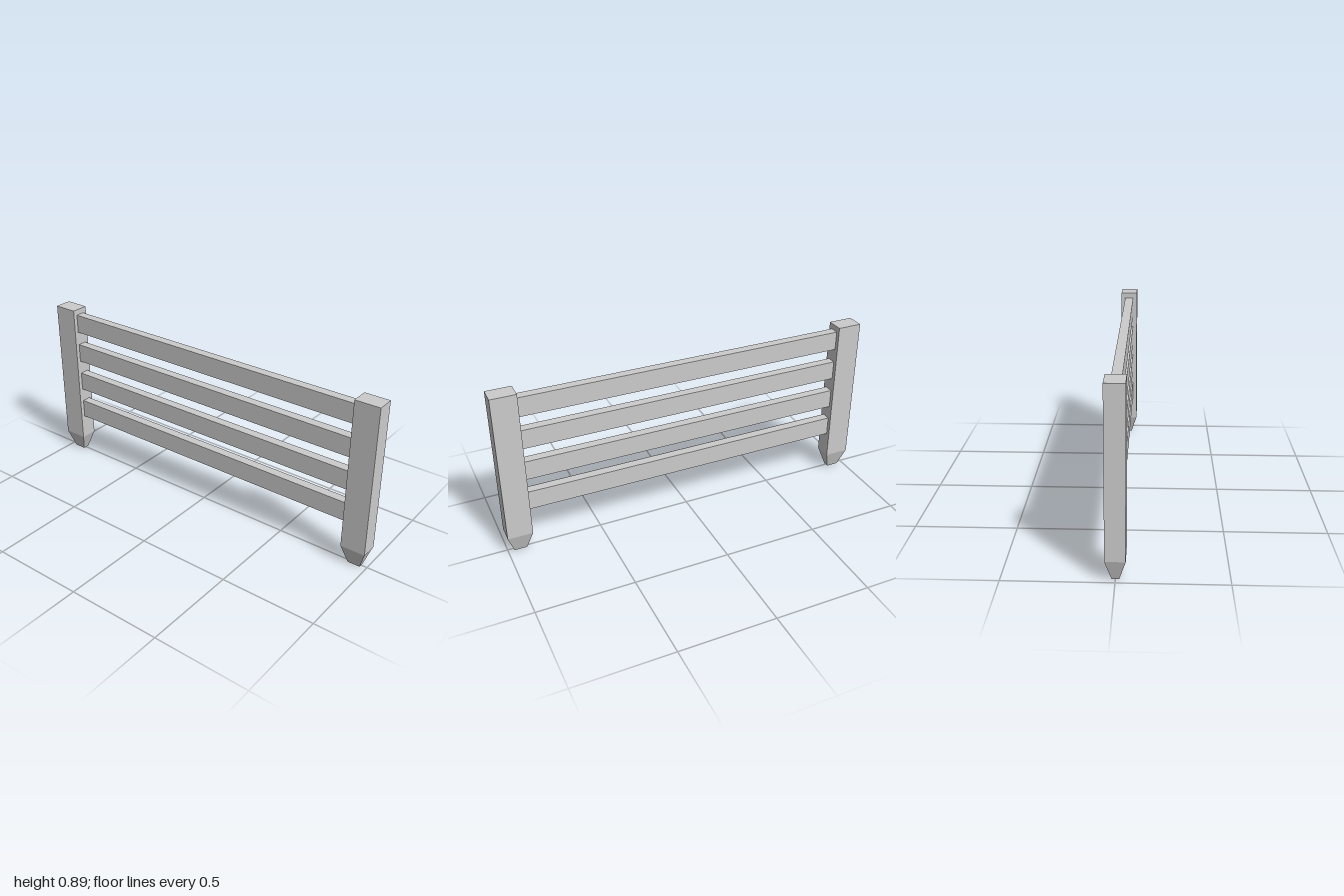
import * as THREE from 'three';

const material = new THREE.MeshStandardMaterial({ color: 0xcccccc, flatShading: true });

const POST = { width: 0.13, height: 0.895, depth: 0.092, taper: 0.1 };
const RAIL = { height: 0.102, depth: 0.048, first: 0.284, step: 0.1765, count: 4 };

// Square post whose lower end narrows to a blunt stake
function postGeometry() {
  const geometry = new THREE.BoxGeometry(POST.width, POST.height, POST.depth, 1, 2, 1);
  const p = geometry.attributes.position;
  for (let i = 0; i < p.count; i++) {
    const y = p.getY(i);
    if (y > 0.01) {
      p.setY(i, POST.height);
    } else if (y > -0.01) {
      p.setY(i, POST.taper);
    } else {
      p.setXYZ(i, p.getX(i) * 0.5, 0, p.getZ(i) * 0.36);
    }
  }
  geometry.computeVertexNormals();
  return geometry;
}

export function createModel() {
  const fence = new THREE.Group();
  fence.name = 'fence';

  // Posts at both ends
  const post = postGeometry();
  for (const side of [-1, 1]) {
    const mesh = new THREE.Mesh(post, material);
    mesh.name = side > 0 ? 'leftPost' : 'rightPost';
    mesh.position.x = side * (1 - POST.width / 2);
    fence.add(mesh);
  }

  // Evenly spaced rails spanning between the posts
  const rail = new THREE.BoxGeometry(2 - 2 * POST.width, RAIL.height, RAIL.depth);
  for (let i = 0; i < RAIL.count; i++) {
    const mesh = new THREE.Mesh(rail, material);
    mesh.name = `rail${i + 1}`;
    mesh.position.y = RAIL.first + i * RAIL.step;
    fence.add(mesh);
  }

  return fence;
}
